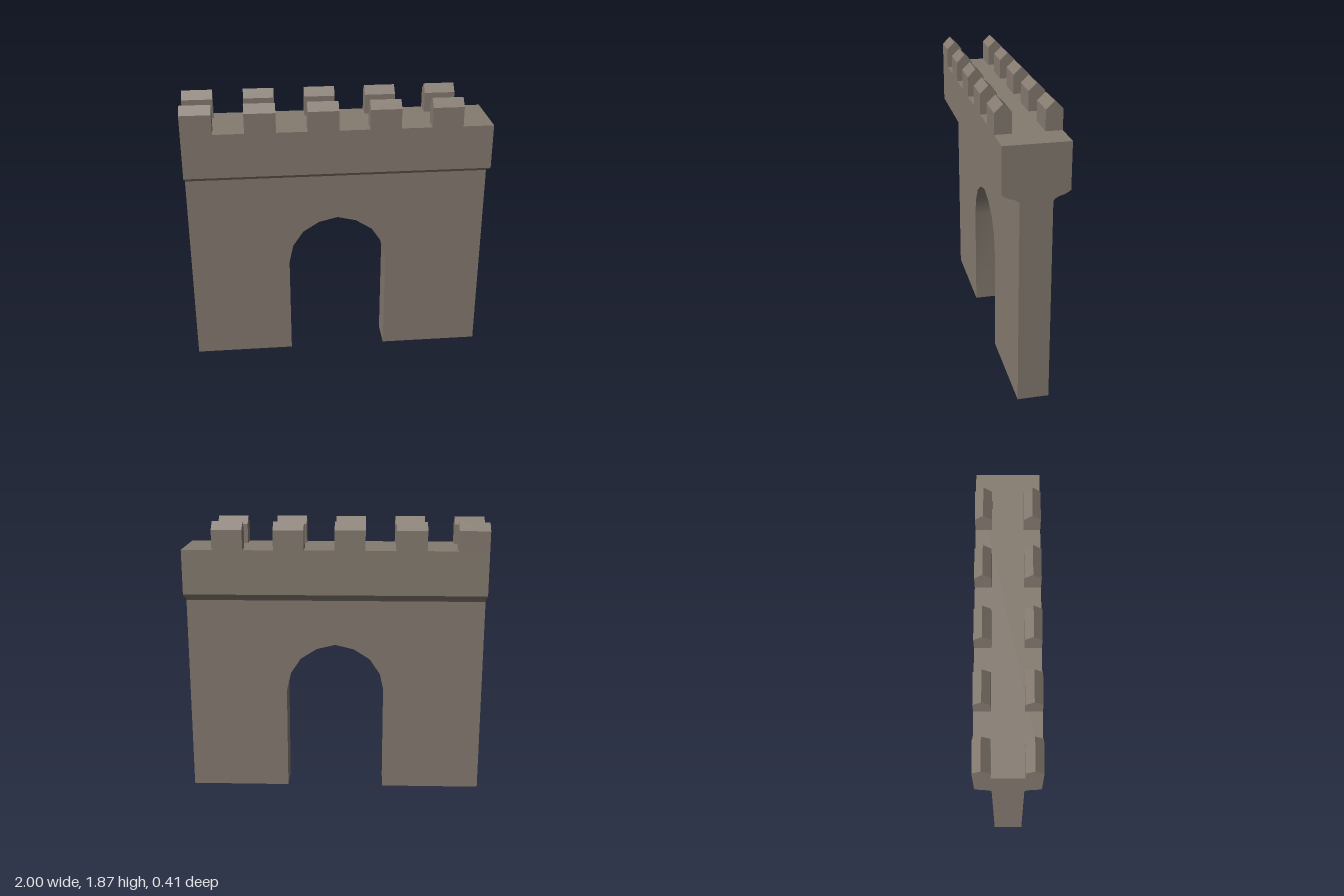
import * as THREE from 'three';
import { toCreasedNormals } from 'three/addons/utils/BufferGeometryUtils.js';

const HALF_DEPTH = 0.205; // parapet half depth
const WALL_HALF = 0.1;    // wall half depth
const LEDGE_Y = 1.34;     // top of the wall, start of the moulding
const WALK_Y = 1.69;      // top of the parapet

const stone = new THREE.MeshStandardMaterial({ color: 0x857b70 });
stone.name = 'stone';

function extrude(points, depth) {
  const shape = new THREE.Shape(points.map(([x, y]) => new THREE.Vector2(x, y)));
  const geo = new THREE.ExtrudeGeometry(shape, { depth, bevelEnabled: false });
  geo.translate(0, 0, -depth / 2);
  return toCreasedNormals(geo, 0.6);
}

// Profile drawn in (z, y), swept along x
const sweepAlongX = (points, length) => extrude(points, length).rotateY(-Math.PI / 2).scale(1, 1, 1);

function addMesh(parent, name, geometry) {
  const mesh = new THREE.Mesh(geometry, stone);
  mesh.name = name;
  parent.add(mesh);
  return mesh;
}

// Right half of a symmetric outline, mirrored to close the left half
const mirrored = (half) => [...half, ...half.filter(([x]) => x !== 0).reverse().map(([x, y]) => [-x, y])];

export function createModel() {
  const gate = new THREE.Group();
  gate.name = 'castleGate';

  // Wall with a faceted archway open at the ground
  const arch = mirrored([[0.333, 0], [0.333, 0.7], [0.305, 0.825], [0.235, 0.93], [0.125, 1.0], [0, 1.03]]);
  addMesh(gate, 'archedWall', extrude(
    [[1, 0], [1, LEDGE_Y], [-1, LEDGE_Y], [-1, 0], ...arch.reverse()], WALL_HALF * 2));

  // Overhanging parapet with a curved moulding below
  addMesh(gate, 'parapet', sweepAlongX(mirrored([
    [WALL_HALF, LEDGE_Y - 0.005], [0.112, 1.35], [0.138, 1.364], [0.165, 1.37],
    [0.188, 1.382], [HALF_DEPTH, 1.395], [HALF_DEPTH, WALK_Y],
  ]), 2));

  // Two rows of merlons with ridged tops
  const merlons = new THREE.Group();
  merlons.name = 'merlons';
  gate.add(merlons);
  const half = (HALF_DEPTH - WALL_HALF) / 2;
  const merlon = sweepAlongX([[-half, 0], [half, 0], [half, 0.13], [0, 0.18], [-half, 0.13]], 0.2);
  for (const side of [1, -1]) {
    for (let i = 0; i < 5; i++) {
      addMesh(merlons, side > 0 ? 'frontMerlon' : 'backMerlon', merlon)
        .position.set(-0.9 + i * 0.4, WALK_Y, side * (WALL_HALF + half));
    }
  }
  return gate;
}
